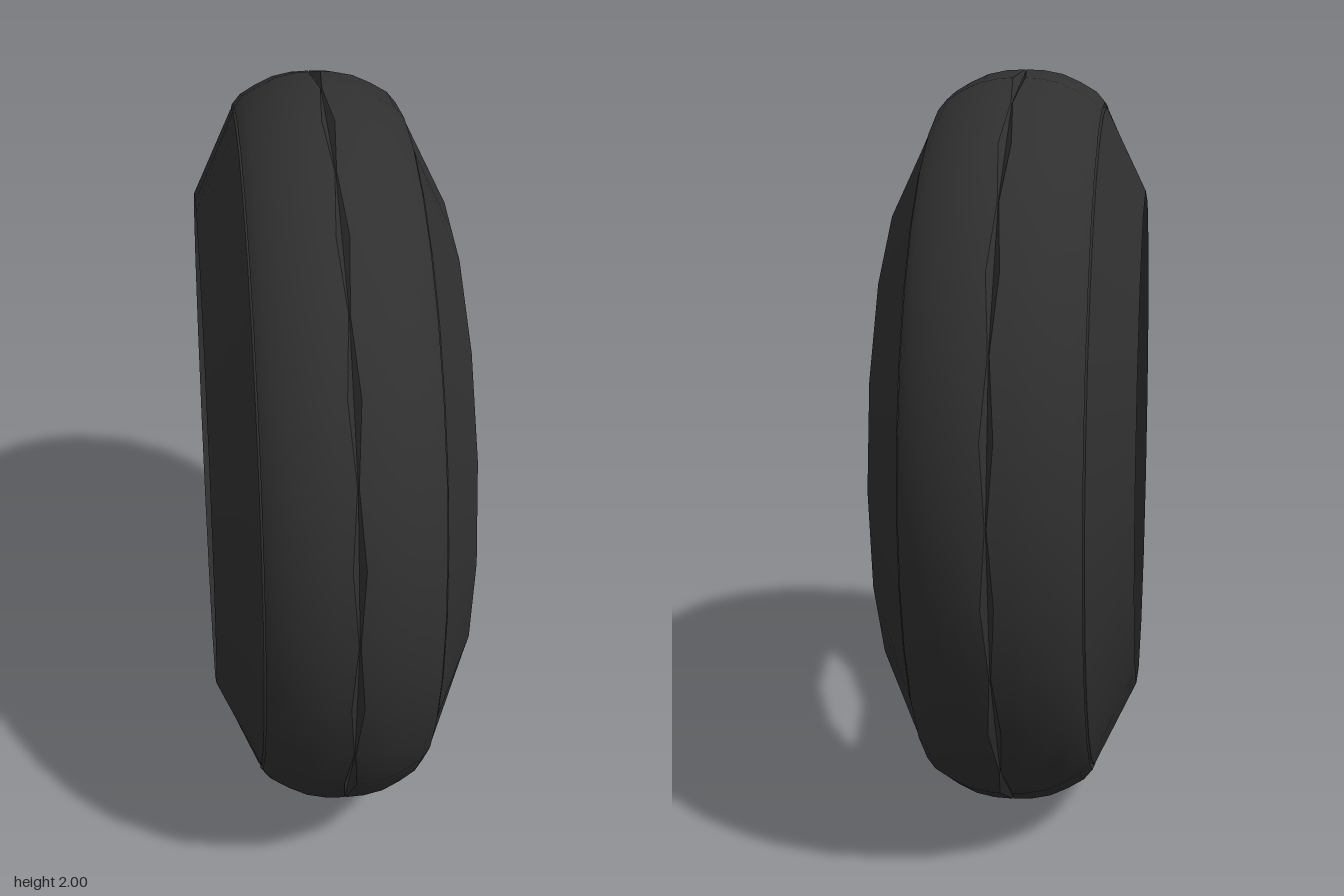
import * as THREE from 'three';

const SEG = 32;
const CHORD = Math.cos(Math.PI / 16);

const rubber = new THREE.MeshStandardMaterial({ color: 0x303030, side: THREE.DoubleSide });
rubber.name = 'black rubber';

// Sweeps a profile of rings round the x axis. Each ring is [x, radius, oddX, oddRadius];
// the odd values apply to every second step round the tyre.
function sweep(name, rings, side) {
  const pos = [], index = [];
  for (const [x, r, oddX = x, oddR = r] of rings) {
    for (let j = 0; j < SEG; j++) {
      const a = (j / SEG) * Math.PI * 2;
      const px = j % 2 ? oddX : x, pr = j % 2 ? oddR : r;
      pos.push(side * px, 1 + pr * Math.cos(a), pr * Math.sin(a));
    }
  }
  for (let i = 0; i < rings.length - 1; i++) {
    for (let j = 0; j < SEG; j++) {
      const k = (j + 1) % SEG;
      const a = i * SEG + j, b = a + SEG, c = i * SEG + k, d = c + SEG;
      if (side > 0) index.push(a, b, c, b, d, c);
      else index.push(a, c, b, b, c, d);
    }
  }
  const geo = new THREE.BufferGeometry();
  geo.setAttribute('position', new THREE.Float32BufferAttribute(pos, 3));
  geo.setIndex(index);
  geo.computeVertexNormals();
  const mesh = new THREE.Mesh(geo, rubber);
  mesh.name = name;
  return mesh;
}

export function createModel() {
  const tyre = new THREE.Group();
  tyre.name = 'tyre';
  for (const side of [1, -1]) {
    const label = side > 0 ? 'left' : 'right';
    tyre.add(
      // Flat sidewall, from the sixteen-sided bead to the shoulder
      sweep(label + 'Sidewall', [[0.325, 0.68, 0.325, 0.68 * CHORD], [0.217, 0.902]], side),
      // Narrow groove between sidewall and tread
      sweep(label + 'ShoulderGroove', [[0.217, 0.902], [0.203, 0.899], [0.213, 0.915]], side),
      // Rounded half of the tread, its inner edge scalloped
      sweep(label + 'Tread', [[0.213, 0.915], [0.19, 0.942], [0.147, 0.967], [0.1, 0.988],
        [0.05, 0.998], [0.002, 1.0, 0.016, 1.0]], side),
      // Wall of the lens-shaped cuts along the centre line
      sweep(label + 'CentreGroove', [[0.002, 1.0, 0.016, 1.0], [0, 0.996, 0, 0.978]], side)
    );
  }
  return tyre;
}
